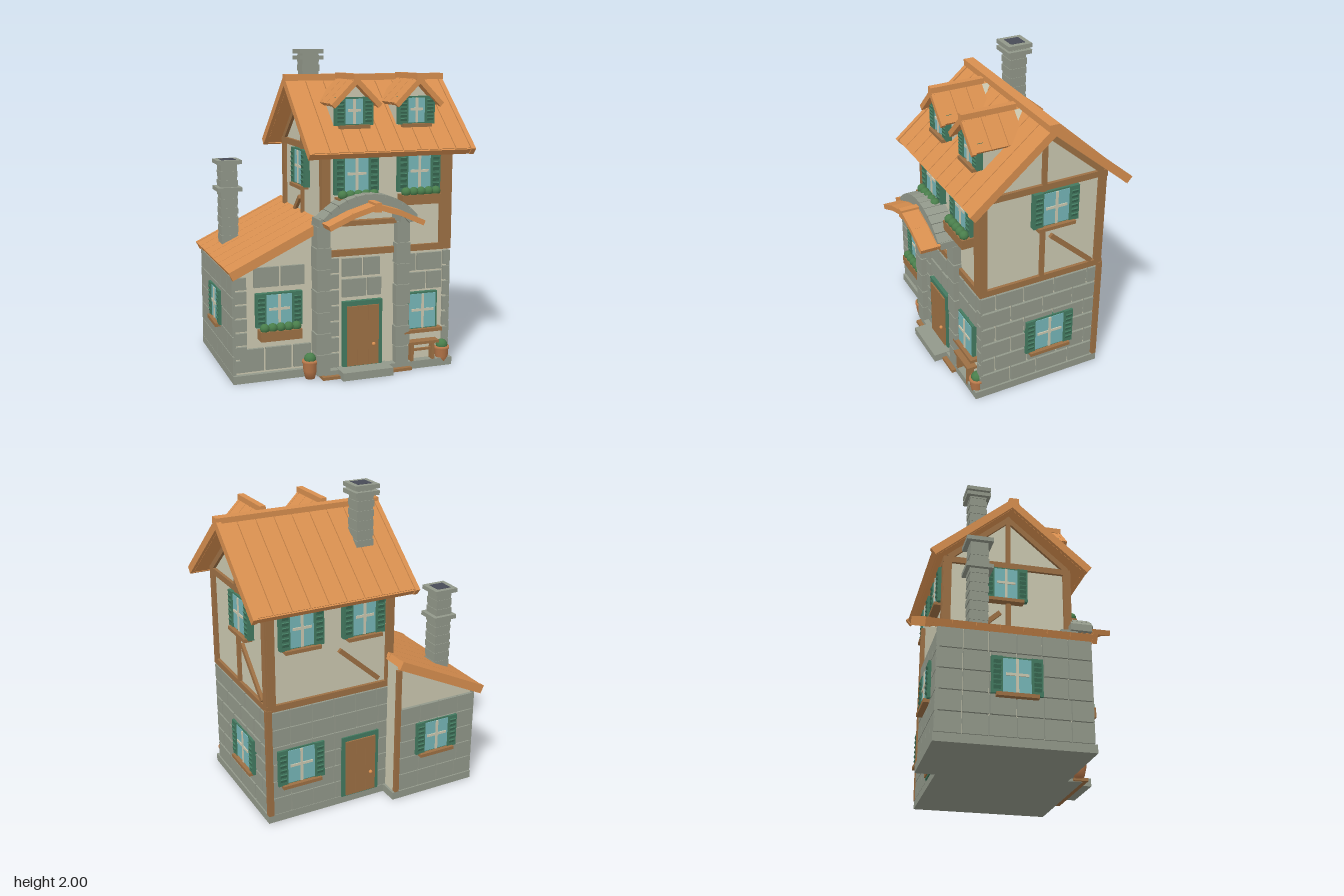
import * as THREE from 'three';

const mat = (name, hex) => new THREE.MeshStandardMaterial({ name, color: hex });
const M = {
  plaster: mat('plaster', 0xcbc8b0), stone: mat('stone', 0x92988a), wood: mat('timber', 0x9d7044),
  roof: mat('roofBoards', 0xd88f4f), green: mat('greenPaint', 0x437a60), glass: mat('glass', 0x76b6b8),
  leaf: mat('leaf', 0x4a7f4c), pot: mat('terracotta', 0xb9784a), dark: mat('soot', 0x484b57),
};

function add(parent, name, material, geometry, x = 0, y = 0, z = 0) {
  const m = new THREE.Mesh(geometry, material);
  m.name = name;
  m.position.set(x, y, z);
  parent.add(m);
  return m;
}
// Box given by its min and max on every axis
const span = (p, name, m, x0, x1, y0, y1, z0, z1) =>
  add(p, name, m, new THREE.BoxGeometry(x1 - x0, y1 - y0, z1 - z0), (x0 + x1) / 2, (y0 + y1) / 2, (z0 + z1) / 2);

function group(parent, name, x = 0, y = 0, z = 0, ry = 0) {
  const g = new THREE.Group();
  g.name = name;
  g.position.set(x, y, z);
  g.rotation.y = ry;
  parent.add(g);
  return g;
}
const prism = (pts, depth) => new THREE.ExtrudeGeometry(
  new THREE.Shape(pts.map(p => new THREE.Vector2(...p))), { depth, bevelEnabled: false });

// Timber laid on a wall between two points
function beam(face, x0, y0, x1, y1, t = 0.04, d = 0.02) {
  const len = Math.hypot(x1 - x0, y1 - y0);
  add(face, 'beam', M.wood, new THREE.BoxGeometry(len, t, d), (x0 + x1) / 2, (y0 + y1) / 2, d / 2)
    .rotation.z = Math.atan2(y1 - y0, x1 - x0);
}

let seed = 7;
const rnd = () => (seed = (seed * 16807) % 2147483647) / 2147483647;

// Courses of raised stone blocks, each course shifted by half a block
function stones(face, x0, x1, y0, y1, rows, width, gap = 0.014, jitter = 0.25, shift = 0.5) {
  const h = (y1 - y0) / rows;
  for (let r = 0; r < rows; r++) {
    let x = x0, w = width * (r % 2 ? shift : 1);
    while (x < x1 - 0.02) {
      const e = x1 - x - w < 0.05 ? x1 : x + w;
      span(face, 'stoneBlock', M.stone, x + gap / 2, e - gap / 2, y0 + r * h + gap / 2, y0 + (r + 1) * h - gap / 2, 0, 0.02);
      x = e;
      w = width * (1 + (rnd() - 0.5) * jitter);
    }
  }
}

// Window centred at x, y with optional shutters, sill or planter
function windowUnit(face, x, y, w, h, { shutters = true, planter = false } = {}) {
  const g = group(face, 'window', x, y);
  span(g, 'windowFrame', M.green, -w / 2 - 0.012, w / 2 + 0.012, -h / 2 - 0.01, h / 2 + 0.01, 0, 0.028);
  span(g, 'pane', M.glass, -w / 2, w / 2, -h / 2, h / 2, 0.026, 0.032);
  span(g, 'mullion', M.plaster, -0.008, 0.008, -h / 2, h / 2, 0.03, 0.038);
  span(g, 'crossBar', M.plaster, -w / 2 + 0.015, w / 2 - 0.015, -0.002, 0.014, 0.03, 0.038);
  if (shutters) for (const s of [-1, 1]) {
    const sh = group(g, 'shutter', s * (w / 2 + 0.034));
    span(sh, 'shutterPanel', M.green, -0.032, 0.032, -h / 2 - 0.01, h / 2 + 0.01, 0, 0.036);
    for (let i = 0; i < 6; i++)
      add(sh, 'slat', M.green, new THREE.BoxGeometry(0.042, h * 0.1, 0.008), 0, (i - 2.5) * h * 0.15, 0.037).rotation.x = 0.4;
  }
  const b = -h / 2;
  if (!planter) {
    span(g, 'sill', M.wood, -w / 2 - 0.04, w / 2 + 0.04, b - 0.028, b - 0.006, 0, 0.055);
    return;
  }
  span(g, 'planter', M.wood, -0.13, 0.13, b - 0.085, b - 0.025, 0, 0.085);
  for (let i = -2; i <= 2; i++)
    add(g, 'flowerBush', M.leaf, new THREE.IcosahedronGeometry(0.03, 1), i * 0.05, b - 0.008, 0.058);
}

function door(face, x) {
  const g = group(face, 'door', x);
  span(g, 'doorFrame', M.green, -0.13, 0.13, 0.05, 0.47, 0, 0.03);
  for (let i = -1; i <= 1; i++)
    span(g, 'doorPlank', M.wood, i * 0.07 - 0.034, i * 0.07 + 0.034, 0.06, 0.44, 0.02, 0.04);
  add(g, 'doorKnob', M.roof, new THREE.SphereGeometry(0.012, 10, 8), 0.068, 0.19, 0.047);
}

function chimney(root, x, z, y0, y1, collar) {
  const g = group(root, 'chimney', x, 0, z);
  const slab = (r, a, b, m = M.stone, n = 'chimneyCap') => span(g, n, m, -r, r, a, b, -r, r);
  slab(0.053, y0, y1 - 0.01, M.stone, 'chimneyStack');
  slab(0.08, y1 - 0.028, y1 - 0.002);
  slab(0.08, collar - 0.013, collar + 0.013);
  slab(0.048, y1 - 0.01, y1, M.dark, 'flue');
  for (let y = y0 + 0.06; y < y1 - 0.06; y += 0.06)
    slab(0.055 + rnd() * 0.003, y, y + 0.04, M.stone, 'chimneyCourse');
}

function flowerPot(root, x, z) {
  const prof = [[0, 0], [0.03, 0], [0.042, 0.05], [0.045, 0.095], [0.05, 0.1], [0.05, 0.115], [0, 0.115]];
  add(root, 'flowerPot', M.pot, new THREE.LatheGeometry(prof.map(p => new THREE.Vector2(...p)), 14), x, 0.005, z);
  add(root, 'potPlant', M.leaf, new THREE.IcosahedronGeometry(0.038, 1), x, 0.128, z);
}

export function createModel() {
  const root = new THREE.Group();
  root.name = 'cottage';

  // Plinth and wall cores
  span(root, 'plinth', M.stone, -0.2, 0.66, 0, 0.05, -0.455, 0.42);
  span(root, 'annexPlinth', M.stone, -0.75, -0.15, 0, 0.05, -0.575, 0.33);
  add(root, 'mainWalls', M.plaster, prism([[-0.365, 0.04], [0.435, 0.04], [0.435, 1.42], [0.03, 1.77], [-0.365, 1.43]], 0.82), -0.185)
    .rotation.y = Math.PI / 2;
  add(root, 'annexWalls', M.plaster, prism([[-0.73, 0.04], [-0.165, 0.04], [-0.165, 0.935], [-0.73, 0.66]], 0.85), 0, 0, -0.55);

  // Faces: local x runs along the wall, local z points outward
  const front = group(root, 'frontFace', 0, 0, 0.365);
  const back = group(root, 'backFace', 0, 0, -0.435, Math.PI);
  const right = group(root, 'leftSideFace', 0.635, 0, 0, Math.PI / 2);
  const left = group(root, 'rightSideFace', -0.185, 0, 0, -Math.PI / 2);
  const annexFront = group(root, 'annexFront', 0, 0, 0.3);
  const annexBack = group(root, 'annexBack', 0, 0, -0.55, Math.PI);
  const annexSide = group(root, 'annexSide', -0.73, 0, 0, -Math.PI / 2);

  // Stonework
  stones(right, -0.385, 0.42, 0.05, 0.75, 6, 0.21);
  stones(back, -0.655, 0.17, 0.05, 0.75, 6, 0.15, 0.006, 0.1, 1);
  stones(annexSide, -0.57, 0.32, 0.05, 0.66, 5, 0.15, 0.006, 0.1, 1);
  stones(annexBack, 0.2, 0.75, 0.05, 0.63, 5, 0.14, 0.006, 0.1, 1);
  stones(annexFront, -0.62, -0.29, 0.58, 0.715, 1, 0.17);
  stones(annexFront, -0.71, -0.25, 0.06, 0.215, 1, 0.16);
  stones(annexFront, -0.745, -0.655, 0.06, 0.66, 7, 0.09, 0.012, 0, 0.7);
  stones(front, -0.08, 0.18, 0.62, 0.745, 1, 0.14);
  stones(front, -0.08, 0.19, 0.49, 0.615, 1, 0.17);
  stones(front, 0.35, 0.6, 0.5, 0.745, 2, 0.14);
  stones(front, 0.6, 0.655, 0.05, 0.75, 7, 0.055, 0.012, 0, 1);
  stones(front, -0.16, -0.09, 0.05, 0.75, 7, 0.07, 0.012, 0, 0.7);

  // Timber framing
  for (const f of [front, back]) {
    const s = f === front ? 1 : -1;
    for (const y of [0.775, 1.395]) beam(f, -0.205 * s, y, 0.655 * s, y);
    for (const x of [-0.175, 0.62]) beam(f, x * s, 0.76, x * s, 1.4, 0.05);
  }
  beam(front, 0.585, 0.79, 0.585, 1.38, 0.02);
  beam(back, -0.17, 1.06, 0.1, 0.82, 0.03);
  for (const f of [right, left]) {
    const s = f === right ? 1 : -1;
    for (const y of [0.775, 1.4]) beam(f, -0.385 * s, y, 0.455 * s, y);
    for (const u of [-0.36, 0.425]) beam(f, u * s, 0.76, u * s, 1.41, 0.05);
    beam(f, 0.03 * s, 0.79, 0.03 * s, 1.77, 0.028);
    beam(f, 0.085 * s, 1.06, 0.375 * s, 0.8, 0.03);
    for (const u of [-0.36, 0.42]) beam(f, 0.03 * s, 1.745, u * s, 1.415, 0.035);
  }
  beam(right, 0.44, 0.05, 0.44, 0.77, 0.03, 0.025);
  beam(back, -0.64, 0.05, -0.64, 0.77, 0.03, 0.025);
  beam(annexBack, 0.18, 0.05, 0.18, 0.9, 0.03, 0.025);

  // Windows and doors
  for (const x of [0.013, 0.425]) {
    windowUnit(front, x, 1.255, 0.15, 0.22, { planter: true });
    windowUnit(back, -x, 1.255, 0.15, 0.22);
  }
  windowUnit(front, 0.46, 0.37, 0.18, 0.22, { shutters: false });
  windowUnit(right, 0.105, 1.26, 0.17, 0.21);
  windowUnit(right, 0.09, 0.36, 0.2, 0.22);
  windowUnit(left, -0.05, 1.26, 0.15, 0.21);
  windowUnit(back, -0.44, 0.37, 0.18, 0.22);
  windowUnit(annexFront, -0.46, 0.445, 0.16, 0.19, { planter: true });
  windowUnit(annexBack, 0.46, 0.4, 0.17, 0.2);
  windowUnit(annexSide, -0.12, 0.4, 0.16, 0.2);
  door(front, 0.057);
  door(back, -0.03);

  // Main roof: boards, verges and ridge
  for (const ry of [0, Math.PI]) {
    const g = group(root, 'mainRoofSlope', 0, 1.83, -0.03);
    g.rotation.set(0.7, ry, 0, 'YXZ');
    const s = ry ? -1 : 1;
    add(g, 'roofDeck', M.roof, new THREE.BoxGeometry(1.03, 0.025, 0.655), 0.225 * s, -0.032, 0.327);
    for (let i = 0; i < 9; i++)
      add(g, 'roofBoard', M.roof, new THREE.BoxGeometry(0.111, 0.022, 0.665), (-0.24 + i * 0.1163) * s, -0.012, 0.333);
    for (const x of [-0.3, 0.745])
      add(g, 'verge', M.roof, new THREE.BoxGeometry(0.03, 0.05, 0.685), x * s, -0.018, 0.338);
    add(g, 'eaveBoard', M.roof, new THREE.BoxGeometry(1.05, 0.04, 0.012), 0.225 * s, -0.025, 0.668);
  }
  span(root, 'ridgeCap', M.roof, -0.315, 0.76, 1.805, 1.845, -0.05, 0.015);

  // Annex roof
  const ar = group(root, 'annexRoof', -0.457, 0.82, 0);
  ar.rotation.z = Math.atan(0.48);
  add(ar, 'annexDeck', M.roof, new THREE.BoxGeometry(0.66, 0.025, 0.96), 0, -0.01, -0.14);
  for (let i = 0; i < 7; i++)
    add(ar, 'annexBoard', M.roof, new THREE.BoxGeometry(0.673, 0.025, 0.131), 0, 0.01, -0.555 + i * 0.135);
  for (const z of [-0.62, 0.335])
    add(ar, 'annexVerge', M.roof, new THREE.BoxGeometry(0.675, 0.055, 0.03), 0, -0.002, z);

  // Dormers
  for (const x of [0.016, 0.425]) {
    const d = group(root, 'dormer', x);
    add(d, 'dormerWalls', M.plaster, prism([[-0.12, 1.48], [0.12, 1.48], [0.12, 1.68], [0, 1.81], [-0.12, 1.68]], 0.31));
    windowUnit(group(d, 'dormerFace', 0, 0, 0.31), 0, 1.63, 0.11, 0.15);
    for (const s of [-1, 1]) {
      const r = group(d, 'dormerSlope', 0, 1.835, 0);
      r.rotation.z = -s * 0.79;
      for (let i = 0; i < 3; i++)
        add(r, 'dormerBoard', M.roof, new THREE.BoxGeometry(0.22, 0.026, 0.102), s * 0.11, -0.013, 0.112 + i * 0.106);
      add(r, 'dormerVerge', M.roof, new THREE.BoxGeometry(0.232, 0.032, 0.025), s * 0.112, -0.014, 0.378);
    }
    span(d, 'dormerRidge', M.roof, -0.02, 0.02, 1.82, 1.855, 0.05, 0.392);
  }

  // Porch: pillars, stone arch, board canopy, step and deck
  for (const px of [-0.205, 0.315]) {
    span(root, 'pillar', M.stone, px - 0.038, px + 0.038, 0.02, 0.97, 0.3, 0.41);
    for (let i = 0; i < 7; i++) {
      const w = 0.042 + (i % 2) * 0.006;
      span(root, 'pillarBlock', M.stone, px - w, px + w, 0.03 + i * 0.133, 0.155 + i * 0.133, 0.32, 0.42);
    }
    span(root, 'pillarCapital', M.stone, px - 0.055, px + 0.055, 0.965, 1.01, 0.36, 0.5);
  }
  for (let i = 0; i < 11; i++) {
    const a = (i - 5) * 0.158;
    add(root, 'archStone', M.stone, new THREE.BoxGeometry(0.059, 0.07, 0.14), 0.06 + Math.sin(a) * 0.36, 0.755 + Math.cos(a) * 0.36, 0.445)
      .rotation.z = -a;
  }
  const steps = [[0, 1.09], [0.15, 1.045], [0.295, 0.98]];
  for (const s of [-1, 1]) for (let i = 0; i < 2; i++) {
    const [x0, y0] = steps[i], [x1, y1] = steps[i + 1];
    const len = Math.hypot(x1 - x0, y1 - y0) + 0.008;
    for (let k = 0; k < 2; k++)
      add(root, 'canopyBoard', M.roof, new THREE.BoxGeometry(len, 0.032, k ? 0.106 : 0.138), 0.06 + s * (x0 + x1) / 2, (y0 + y1) / 2, k ? 0.573 : 0.449)
        .rotation.z = s * Math.atan2(y1 - y0, x1 - x0);
  }
  span(root, 'canopyRidge', M.roof, 0.04, 0.08, 1.06, 1.115, 0.5, 0.632);
  span(root, 'porchBeam', M.wood, -0.16, 0.27, 0.945, 0.975, 0.365, 0.41);
  span(root, 'porchDeck', M.wood, -0.22, 0.37, 0.003, 0.022, 0.36, 0.45);
  span(root, 'doorstep', M.stone, -0.11, 0.22, 0.005, 0.055, 0.36, 0.505);

  // Bench and pots
  span(root, 'benchSeat', M.wood, 0.36, 0.565, 0.158, 0.176, 0.365, 0.43);
  for (const x of [0.385, 0.53]) span(root, 'benchLeg', M.wood, x - 0.01, x + 0.01, 0.02, 0.16, 0.375, 0.42);
  span(root, 'benchRail', M.wood, 0.385, 0.53, 0.11, 0.125, 0.39, 0.405);
  flowerPot(root, 0.605, 0.385);
  flowerPot(root, -0.28, 0.375);

  // Chimneys
  chimney(root, -0.092, -0.222, 1.5, 2.0, 1.945);
  chimney(root, -0.617, -0.32, 0.7, 1.295, 1.103);

  return root;
}
